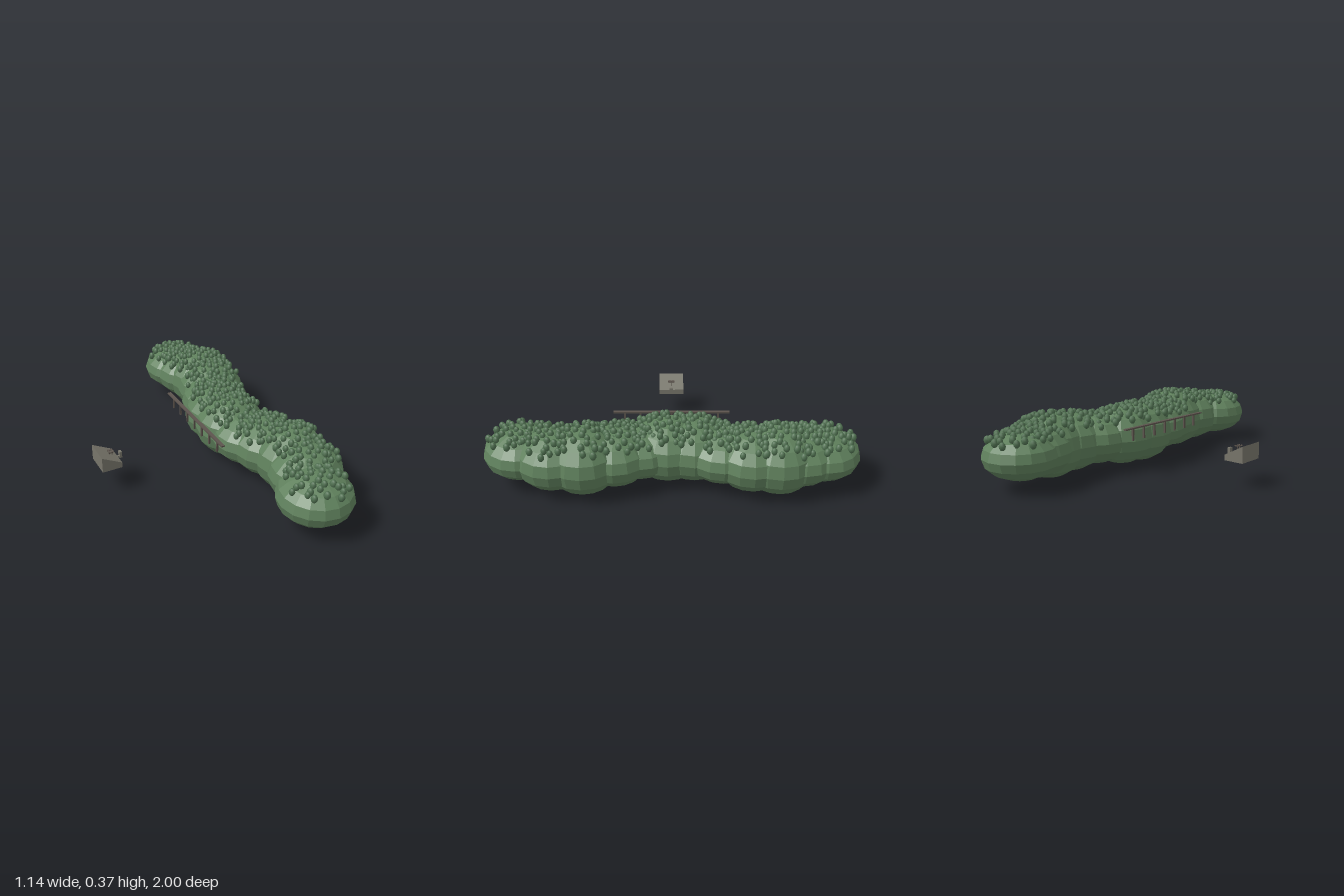
import * as THREE from 'three';
import { mergeGeometries } from 'three/addons/utils/BufferGeometryUtils.js';

function material(name, color) {
  const m = new THREE.MeshStandardMaterial({ color });
  m.name = name;
  return m;
}

function flat(geometry) {
  const g = geometry.toNonIndexed();
  g.computeVertexNormals();
  return g;
}

function seeded(seed) {
  return () => {
    seed = (seed * 1664525 + 1013904223) % 4294967296;
    return seed / 4294967296;
  };
}

export function createModel() {
  const hedgeGreen = material('hedge green', 0x5f805c);
  const leafGreen = material('leaf green', 0x4f7050);
  const stone = material('stone grey', 0x77756a);
  const wood = material('weathered wood', 0x5c544d);

  const model = new THREE.Group();
  model.name = 'hedgeScene';
  const add = (parent, name, geometry, mat, x = 0, y = 0, z = 0) => {
    const mesh = new THREE.Mesh(geometry, mat);
    mesh.name = name;
    mesh.position.set(x, y, z);
    parent.add(mesh);
    return mesh;
  };
  const box = (parent, name, mat, size, pos) =>
    add(parent, name, new THREE.BoxGeometry(...size), mat, ...pos);
  const group = (name) => {
    const g = new THREE.Group();
    g.name = name;
    model.add(g);
    return g;
  };

  // Winding hedge: overlapping squashed spheres [z, x, half height]
  const R = 0.203, CY = 0.18;
  const lobes = [
    [-0.797, 0.30, 0.125], [-0.68, 0.33, 0.14], [-0.56, 0.364, 0.175],
    [-0.42, 0.355, 0.16], [-0.27, 0.305, 0.14], [-0.12, 0.25, 0.162],
    [0.02, 0.245, 0.17], [0.17, 0.267, 0.135], [0.3, 0.32, 0.15],
    [0.46, 0.365, 0.176], [0.62, 0.35, 0.155], [0.797, 0.28, 0.13],
  ];
  const hedge = group('hedge');
  const unit = flat(new THREE.SphereGeometry(1, 16, 8));
  for (const [z, x, h] of lobes) {
    const g = unit.clone().scale(R, h, R);
    g.computeVertexNormals();
    add(hedge, 'hedgeLobe', g, hedgeGreen, x, CY, z);
  }

  // Leaf tufts scattered in a spiral over the top of every lobe
  const rand = seeded(7);
  const tuft = new THREE.SphereGeometry(1, 8, 6);
  const tufts = [];
  const perLobe = 44;
  for (const [z, x, h] of lobes) {
    const turn = rand() * 6.28;
    for (let i = 0; i < perLobe; i++) {
      const u = 0.83 * Math.sqrt((i + 0.2 + 0.6 * rand()) / perLobe);
      const a = turn + i * 2.39996 + (rand() - 0.5) * 0.5;
      const s = 0.9 + rand() * 0.2;
      tufts.push(tuft.clone()
        .scale(0.017 * s, 0.022 * s, 0.017 * s)
        .translate(
          x + R * u * Math.cos(a),
          CY + h * Math.sqrt(1 - u * u) + 0.02 * u * u,
          z + R * u * Math.sin(a)));
    }
  }
  add(hedge, 'leafTufts', mergeGeometries(tufts), leafGreen);

  // Railing beside the hedge
  const railing = group('railing');
  box(railing, 'topRail', wood, [0.02, 0.008, 0.65], [0.02, 0.273, 0]);
  for (let i = -3; i <= 3; i++) {
    box(railing, 'railPost', wood, [0.01, 0.066, 0.01], [0.02, 0.237, i * 0.087]);
  }

  // Sloping block, extruded across z
  const ramp = group('ramp');
  const side = new THREE.Shape([
    [-0.57, 0.14], [-0.457, 0.14], [-0.457, 0.17], [-0.57, 0.23],
  ].map(([x, y]) => new THREE.Vector2(x, y)));
  const wedge = new THREE.ExtrudeGeometry(side, { depth: 0.15, bevelEnabled: false });
  add(ramp, 'slopedBlock', wedge, stone, 0, 0, -0.075);

  // Small slatted fitting on the slope and the stop at its foot
  for (const s of [-1, 1]) {
    box(ramp, 'slat', wood, [0.032, 0.004, 0.006], [-0.492, 0.21, s * 0.01]);
  }
  for (const x of [-0.5, -0.485]) {
    box(ramp, 'crossBar', wood, [0.005, 0.004, 0.04], [x, 0.211, 0]);
    box(ramp, 'slatPost', wood, [0.004, 0.03, 0.004], [x, 0.197, 0]);
  }
  box(ramp, 'footStop', stone, [0.014, 0.037, 0.022], [-0.438, 0.174, 0]);
  box(ramp, 'footBracket', stone, [0.016, 0.006, 0.01], [-0.45, 0.164, 0]);

  return model;
}
